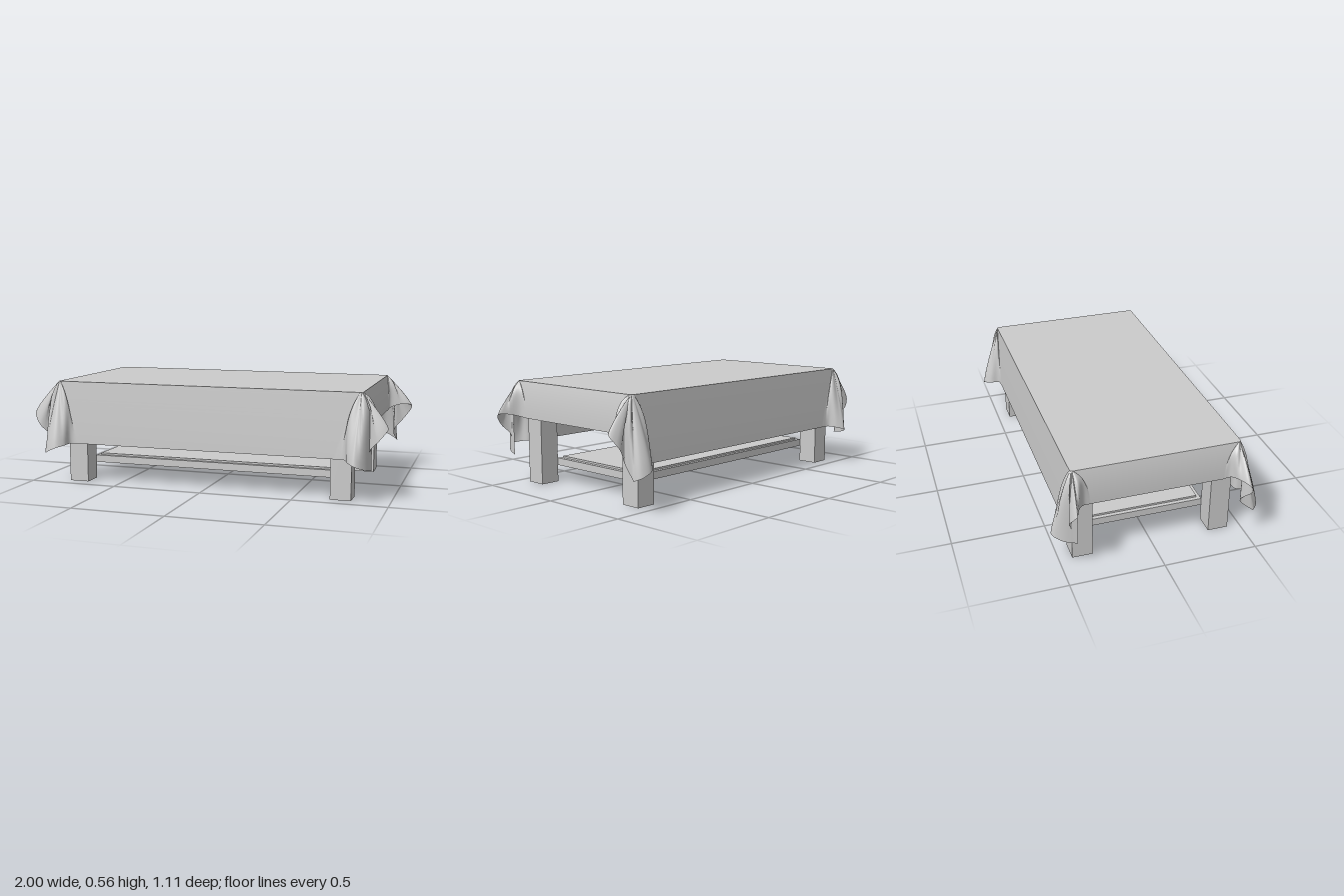
import * as THREE from 'three';

const TOP = 0.565;
const ROWS = 18;
const STEPS = 26;

// Hem of a cloth corner, from the short side to the cloth's tip, then on to the long side.
const CORNER_A = [
  [[0.872, 0.37, 0.35], [0.88, 0.375, 0.39], [0.93, 0.39, 0.425], [0.985, 0.39, 0.45],
    [0.945, 0.33, 0.478], [0.895, 0.27, 0.46], [0.9, 0.165, 0.425]],
  [[0.9, 0.165, 0.425], [0.875, 0.18, 0.5], [0.83, 0.203, 0.545], [0.79, 0.215, 0.515],
    [0.77, 0.22, 0.472], [0.71, 0.22, 0.463]],
];
const CORNER_B = [
  [[0.872, 0.37, 0.35], [0.88, 0.38, 0.385], [0.94, 0.4, 0.405], [1.0, 0.39, 0.44],
    [0.96, 0.32, 0.475], [0.895, 0.235, 0.44], [0.91, 0.165, 0.515]],
  [[0.91, 0.165, 0.515], [0.88, 0.18, 0.545], [0.83, 0.203, 0.552], [0.79, 0.215, 0.52],
    [0.772, 0.22, 0.472], [0.71, 0.22, 0.463]],
];

// Columns of one corner: a rim point on the table edge and a hem point below it
function cornerColumns(halves, sx, sz) {
  const columns = [];
  halves.forEach((pts, h) => {
    const curve = new THREE.CatmullRomCurve3(pts.map((p) => new THREE.Vector3(...p)), false, 'centripetal');
    for (let i = h; i <= STEPS; i++) {
      const a = ((h + i / STEPS) / 2) * Math.PI / 2;
      const hem = curve.getPoint(i / STEPS);
      const rim = new THREE.Vector3(0.837 + 0.015 * Math.cos(a), TOP, 0.43 + 0.015 * Math.sin(a));
      const sign = new THREE.Vector3(sx, 1, sz);
      columns.push({ rim: rim.multiply(sign), hem: hem.multiply(sign) });
    }
  });
  return sx * sz > 0 ? columns : columns.reverse();
}

function makeCloth(material) {
  const columns = [
    ...cornerColumns(CORNER_A, 1, 1), ...cornerColumns(CORNER_B, -1, 1),
    ...cornerColumns(CORNER_A, -1, -1), ...cornerColumns(CORNER_B, 1, -1),
  ];
  const positions = [];
  const index = [];
  const n = columns.length;
  columns.forEach(({ rim, hem }, c) => {
    // flat sides turn down sharply, flared folds run out almost straight
    const reach = Math.hypot(hem.x - rim.x, hem.z - rim.z);
    const bend = 1.2 + 6.8 * (1 - THREE.MathUtils.smoothstep(reach, 0.03, 0.1));
    for (let r = 0; r <= ROWS; r++) {
      const t = (r / ROWS) ** 1.7;
      const out = 1 - (1 - t) ** bend;
      positions.push(
        THREE.MathUtils.lerp(rim.x, hem.x, out),
        THREE.MathUtils.lerp(rim.y, hem.y, t),
        THREE.MathUtils.lerp(rim.z, hem.z, out),
      );
      if (r < ROWS) {
        const a = c * (ROWS + 1) + r;
        const b = ((c + 1) % n) * (ROWS + 1) + r;
        index.push(a, b, a + 1, b, b + 1, a + 1);
      }
    }
  });
  const drape = new THREE.BufferGeometry();
  drape.setAttribute('position', new THREE.Float32BufferAttribute(positions, 3));
  drape.setIndex(index);
  drape.computeVertexNormals();

  const outline = new THREE.Shape(columns.map(({ rim }) => new THREE.Vector2(rim.x, -rim.z)));
  const flat = new THREE.ShapeGeometry(outline).rotateX(-Math.PI / 2).translate(0, TOP, 0);

  const cloth = new THREE.Group();
  cloth.name = 'tablecloth';
  [['clothDrape', drape], ['clothTop', flat]].forEach(([name, geometry]) => {
    const mesh = new THREE.Mesh(geometry, material);
    mesh.name = name;
    cloth.add(mesh);
  });
  return cloth;
}

export function createModel() {
  const model = new THREE.Group();
  model.name = 'coveredTable';
  const wood = new THREE.MeshStandardMaterial({ color: 0xcccccc });
  const fabric = new THREE.MeshStandardMaterial({ color: 0xcccccc, side: THREE.DoubleSide });

  const box = (name, w, h, d, x, bottom, z) => {
    const mesh = new THREE.Mesh(new THREE.BoxGeometry(w, h, d), wood);
    mesh.name = name;
    mesh.position.set(x, bottom + h / 2, z);
    model.add(mesh);
  };

  // Table frame
  box('tableTop', 1.67, 0.06, 0.86, 0, 0.498, 0);
  for (const sx of [1, -1]) {
    for (const sz of [1, -1]) {
      const name = (sz > 0 ? 'front' : 'back') + (sx > 0 ? 'Left' : 'Right') + 'Leg';
      box(name, 0.11, 0.5, 0.11, sx * 0.745, 0, sz * 0.375);
    }
  }

  // Low shelf with a thin raised panel
  box('shelf', 1.38, 0.04, 0.64, 0, 0.092, 0);
  box('shelfPanel', 1.335, 0.01, 0.6, 0, 0.132, 0);

  model.add(makeCloth(fabric));
  return model;
}
